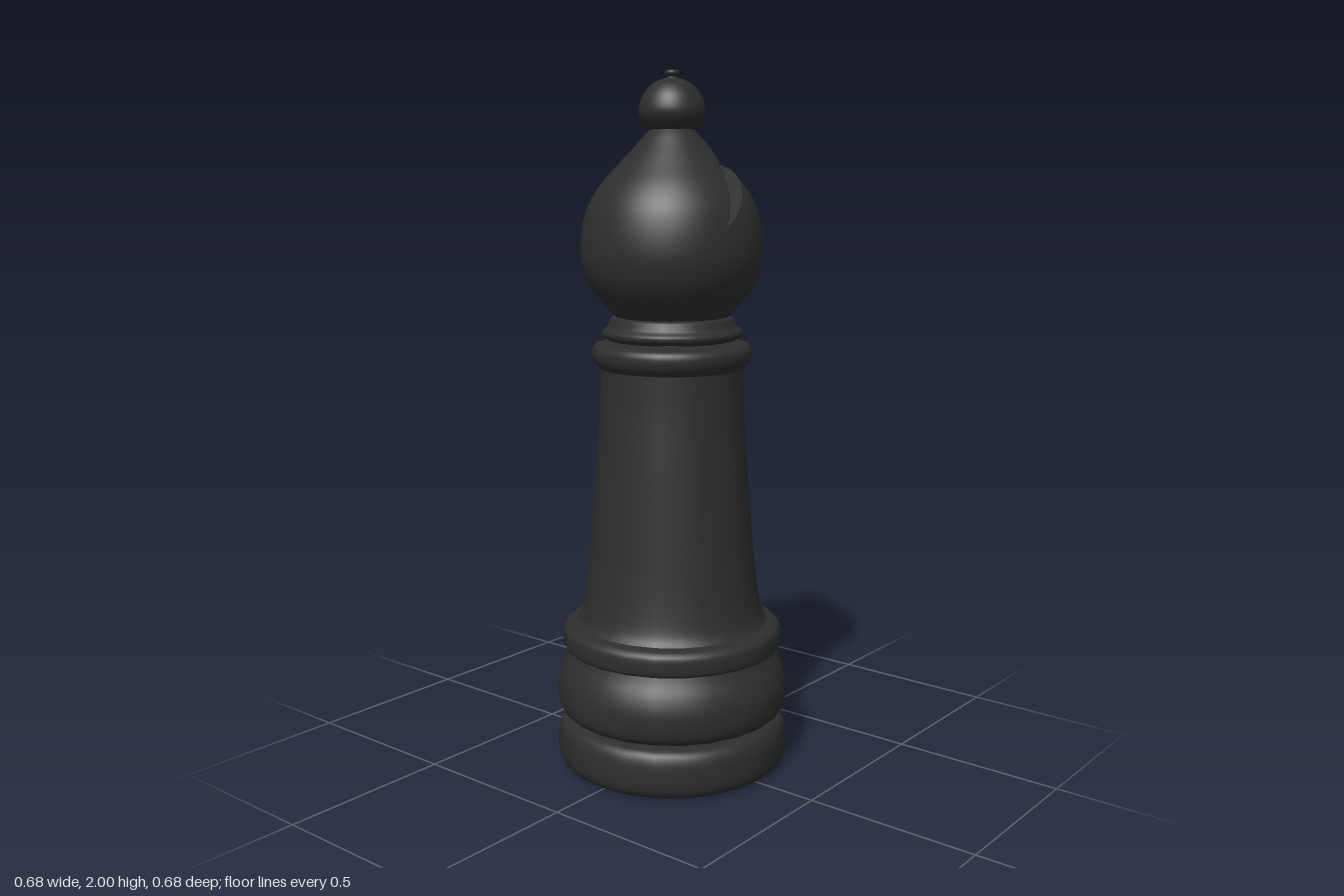
import * as THREE from 'three';

const material = new THREE.MeshStandardMaterial({ color: 0x2e2e2e, side: THREE.DoubleSide });

// Piecewise-linear lookup in a list of [value, y] pairs
function lookup(table, y) {
  let i = 0;
  while (i < table.length - 2 && y > table[i + 1][1]) i++;
  const [a, ya] = table[i], [b, yb] = table[i + 1];
  return a + (b - a) * (y - ya) / (yb - ya);
}

// Smooth version of a [radius, y] profile
const smooth = (points, n) => new THREE.SplineCurve(points.map(p => new THREE.Vector2(...p))).getPoints(n);

function turned(name, points, samples, segments) {
  const mesh = new THREE.Mesh(new THREE.LatheGeometry(smooth(points, samples), segments), material);
  mesh.name = name;
  return mesh;
}

// Head profile: a ball drawn up into a cone
const headProfile = smooth([
  [0.155, 1.315], [0.2, 1.365], [0.235, 1.415], [0.254, 1.47], [0.258, 1.52], [0.251, 1.58],
  [0.234, 1.635], [0.2, 1.69], [0.15, 1.745], [0.105, 1.793], [0.075, 1.826], [0.055, 1.845],
], 80).map(p => [p.x, p.y]);
const radius = y => lookup(headProfile, y);

// Both sides of the slanted slot, as [x, y]
const TIP = 1.575, RIM = 1.747, TOP = 1.845;
const slotInner = [[-0.068, TIP], [-0.015, 1.68], [0.035, 1.765], [0.075, 1.832]];
const slotOuter = [[-0.068, TIP], [-0.03, 1.603], [0.03, 1.658], [0.08, 1.705], [0.108, 1.731], [0.15, RIM]];
const slotX = (table, y) => Math.min(lookup(table, y), radius(y));

// Grid surface from cross-sections: point(y, t) with t from 0 to 1
function grid(name, y0, y1, rows, cols, point, normal) {
  const pos = [], nor = [], index = [];
  for (let i = 0; i <= rows; i++) {
    const y = y0 + (y1 - y0) * i / rows;
    for (let j = 0; j <= cols; j++) {
      pos.push(...point(y, j / cols));
      if (normal) nor.push(...normal(y, j / cols));
      if (i < rows && j < cols) {
        const a = i * (cols + 1) + j, b = a + cols + 1;
        index.push(a, b, a + 1, b, b + 1, a + 1);
      }
    }
  }
  const geo = new THREE.BufferGeometry();
  geo.setAttribute('position', new THREE.Float32BufferAttribute(pos, 3));
  geo.setIndex(index);
  if (normal) geo.setAttribute('normal', new THREE.Float32BufferAttribute(nor, 3));
  else geo.computeVertexNormals();
  const mesh = new THREE.Mesh(geo, material);
  mesh.name = name;
  return mesh;
}

// Part of the round head skin between two angles that depend on height
function skin(name, y0, y1, rows, from, to) {
  const angle = (y, t) => from(y) + (to(y) - from(y)) * t;
  return grid(name, y0, y1, rows, 48,
    (y, t) => [radius(y) * Math.cos(angle(y, t)), y, radius(y) * Math.sin(angle(y, t))],
    (y, t) => {
      const slope = (radius(y + 0.008) - radius(y - 0.008)) / 0.016;
      return new THREE.Vector3(Math.cos(angle(y, t)), -slope, Math.sin(angle(y, t))).normalize().toArray();
    });
}

// Flat face of the slot, spanning the head from back to front
function wall(name, table, y1, side) {
  return grid(name, TIP, y1, 30, 4, (y, t) => {
    const x = slotX(table, y);
    return [x, y, side * (2 * t - 1) * Math.sqrt(Math.max(0, radius(y) ** 2 - x * x))];
  });
}

function slottedHead() {
  const head = new THREE.Group();
  head.name = 'head';
  const edge = table => y => Math.acos(slotX(table, y) / radius(y));
  const inner = edge(slotInner), outer = edge(slotOuter);
  head.add(
    skin('headLower', 1.315, TIP, 24, () => 0, () => 2 * Math.PI),
    skin('headMain', TIP, TOP, 36, inner, y => 2 * Math.PI - inner(y)),
    skin('headLip', TIP, RIM, 36, y => -outer(y), outer),
    wall('slotInnerFace', slotInner, 1.832, 1),
    wall('slotOuterFace', slotOuter, RIM, -1),
  );
  return head;
}

export function createModel() {
  const model = new THREE.Group();
  model.name = 'chessBishop';

  // Flat underside
  const underside = new THREE.Mesh(new THREE.CircleGeometry(0.305, 24).rotateX(Math.PI / 2), material);
  underside.name = 'underside';
  model.add(underside);

  // Turned base, column and collars
  model.add(
    turned('baseRing', [[0.305, 0], [0.327, 0.015], [0.338, 0.045], [0.338, 0.1], [0.327, 0.132], [0.305, 0.145], [0.27, 0.149]], 24, 24),
    turned('upperBaseRing', [[0.27, 0.15], [0.305, 0.156], [0.329, 0.175], [0.338, 0.21], [0.337, 0.255], [0.325, 0.295], [0.306, 0.33], [0.296, 0.352]], 28, 24),
    turned('baseCollar', [[0.29, 0.349], [0.313, 0.356], [0.321, 0.37], [0.321, 0.405], [0.312, 0.42], [0.295, 0.428], [0.26, 0.433]], 24, 24),
    turned('column', [[0.285, 0.425], [0.268, 0.45], [0.256, 0.5], [0.243, 0.6], [0.228, 0.77], [0.215, 0.95], [0.207, 1.08], [0.205, 1.19]], 28, 24),
    turned('topCollar', [[0.203, 1.172], [0.221, 1.19], [0.229, 1.21], [0.228, 1.23], [0.215, 1.244], [0.18, 1.25], [0.15, 1.251]], 24, 24),
    turned('neckRing', [[0.15, 1.252], [0.178, 1.255], [0.197, 1.265], [0.2, 1.28], [0.186, 1.293], [0.18, 1.306], [0.172, 1.319], [0.14, 1.323]], 28, 24),
  );

  model.add(slottedHead());

  // Knob with a small dimpled tip
  model.add(
    turned('knob', [[0.03, 1.833], [0.058, 1.837], [0.08, 1.855], [0.093, 1.88], [0.092, 1.905], [0.08, 1.935], [0.058, 1.96], [0.03, 1.975], [0.008, 1.979]], 36, 32),
    turned('knobTip', [[0.018, 1.972], [0.014, 1.982], [0.02, 1.988], [0.021, 1.995], [0.016, 2], [0.008, 1.997], [0, 1.996]], 24, 20),
  );
  return model;
}
